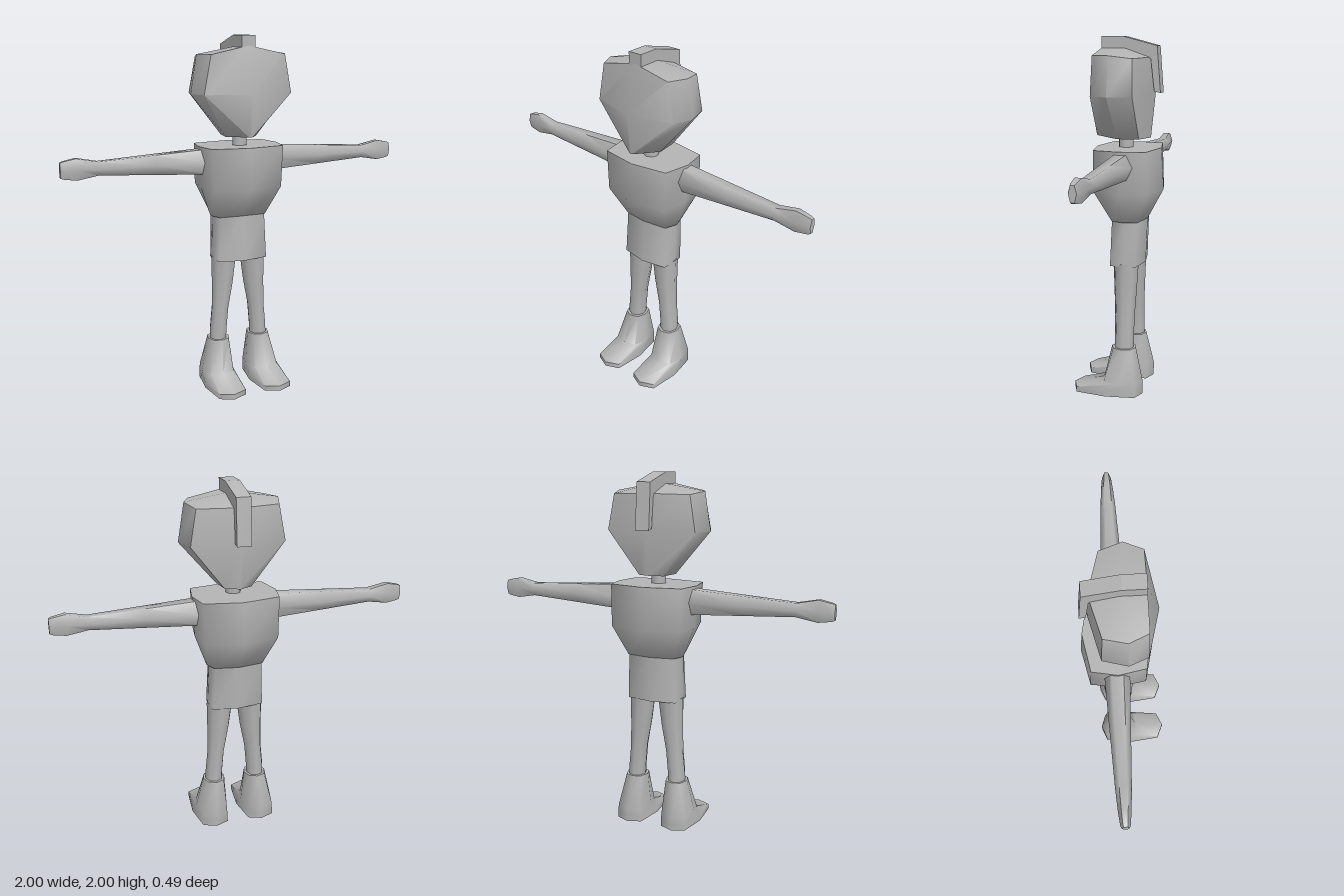
import * as THREE from 'three';
import { toCreasedNormals } from 'three/addons/utils/BufferGeometryUtils.js';

// Skin closed cross-sections (counter-clockwise about the loft direction) and cap both ends.
function loft(rings, crease = 1, endCentres = []) {
  const n = rings[0].length;
  const points = rings.flat();
  const index = [];
  for (let r = 0; r < rings.length - 1; r++) {
    for (let i = 0; i < n; i++) {
      const a = r * n + i, b = r * n + (i + 1) % n;
      index.push(a, b, b + n, a, b + n, a + n);
    }
  }
  const average = ring => [0, 1, 2].map(k => ring.reduce((s, p) => s + p[k], 0) / n);
  const last = (rings.length - 1) * n;
  const bottom = points.push(endCentres[0] ?? average(rings[0])) - 1;
  const top = points.push(endCentres[1] ?? average(rings[rings.length - 1])) - 1;
  for (let i = 0; i < n; i++) {
    const j = (i + 1) % n;
    index.push(bottom, j, i, top, last + i, last + j);
  }
  const g = new THREE.BufferGeometry();
  g.setAttribute('position', new THREE.Float32BufferAttribute(points.flat(), 3));
  g.setIndex(index);
  return toCreasedNormals(g, crease);
}

// Half outline from front centre to back centre, mirrored into a full ring.
const symmetric = half => [
  ...half,
  ...half.slice(1, -1).reverse().map(([x, y, z]) => [-x, y, z]),
];

// Level ring from half-outline [x, z] pairs, shifted sideways by cx.
const level = (y, half, cx = 0) =>
  symmetric(half.map(([x, z]) => [x, y, z])).map(([x, py, z]) => [x + cx, py, z]);

// Mirror rings to the other side, keeping faces outward.
const mirrored = rings => rings.map(ring => ring.map(([x, y, z]) => [-x, y, z]).reverse());

export function createModel() {
  const model = new THREE.Group();
  const grey = new THREE.MeshStandardMaterial({ color: 0xb4b4b4 });
  grey.name = 'plain grey';

  const add = (name, geometry) => {
    const mesh = new THREE.Mesh(geometry, grey);
    mesh.name = name;
    model.add(mesh);
    return mesh;
  };
  const addPair = (name, rings, crease) => {
    add('left' + name, loft(rings, crease));
    add('right' + name, loft(mirrored(rings), crease));
  };

  // Head: wide faceted mask in front, rounded back, pointed chin
  add('head', loft([
    symmetric([[0, 1.46, 0.14], [0.012, 1.46, 0.135], [0.09, 1.45, 0], [0.075, 1.45, -0.12], [0, 1.455, -0.17]]),
    symmetric([[0, 1.69, 0.165], [0.255, 1.69, 0.1], [0.295, 1.69, 0], [0.26, 1.69, -0.13], [0, 1.7, -0.195]]),
    symmetric([[0, 1.945, 0.1], [0.215, 1.9, 0.1], [0.26, 1.9, 0], [0.225, 1.885, -0.12], [0, 1.89, -0.18]]),
  ], 0.95, [[0, 1.45, -0.02], [0, 1.945, -0.02]]));

  // Crest: bent band running over the crown and down the back (profile in z, y)
  const profile = [[0.1, 1.93], [0.1, 2], [-0.02, 2], [-0.21, 1.95], [-0.23, 1.7], [-0.195, 1.71], [-0.175, 1.88], [0, 1.93]];
  const shape = new THREE.Shape(profile.map(([z, y]) => new THREE.Vector2(-z, y)));
  const crest = new THREE.ExtrudeGeometry(shape, { depth: 0.08, bevelEnabled: false });
  crest.translate(0, 0, -0.04).rotateY(Math.PI / 2);
  add('crest', crest);

  // Neck
  add('neck', toCreasedNormals(new THREE.CylinderGeometry(0.042, 0.042, 0.12, 8), 1))
    .position.set(0, 1.42, -0.028);

  // Torso: broad shoulders tapering to the waist
  add('torso', loft([
    level(1.0, [[0, 0.035], [0.14, 0.015], [0.165, -0.06], [0.14, -0.13], [0, -0.155]]),
    level(1.17, [[0, 0.145], [0.2, 0.1], [0.225, -0.05], [0.205, -0.2], [0, -0.245]]),
    level(1.4, [[0, 0.135], [0.21, 0.1], [0.238, -0.05], [0.212, -0.19], [0, -0.23]]),
  ], 1.3));

  // Shorts
  add('shorts', loft([
    level(0.745, [[0, 0.052], [0.145, 0.025], [0.158, -0.05], [0.145, -0.12], [0, -0.145]]),
    level(1.01, [[0, 0.037], [0.135, 0.015], [0.15, -0.06], [0.135, -0.13], [0, -0.155]]),
  ], 1.3));

  // Arms: six-sided, slender to the wrist, ending in a flat mitten [x, y, half height, half depth]
  const arm = [
    [0.2, 1.315, 0.07, 0.068], [0.5, 1.315, 0.053, 0.055], [0.8, 1.315, 0.036, 0.042],
    [0.915, 1.317, 0.058, 0.034], [0.985, 1.315, 0.046, 0.026], [1, 1.315, 0.04, 0.02],
  ].map(([x, y, h, d]) => Array.from({ length: 6 }, (_, i) => {
    const a = (i + 0.5) * Math.PI / 3;
    return [x, y + h * Math.cos(a) / 0.866, -0.055 + d * Math.sin(a)];
  }));
  addPair('Arm', arm, 1.1);

  // Legs: eight-sided, leaning outward below the knee [y, x, half width, half depth]
  const leg = [
    [0.24, 0.128, 0.05, 0.056], [0.32, 0.125, 0.051, 0.056], [0.45, 0.113, 0.05, 0.057],
    [0.6, 0.098, 0.064, 0.065], [0.76, 0.088, 0.076, 0.073],
  ].map(([y, x, w, d]) => Array.from({ length: 8 }, (_, i) => {
    const a = i * Math.PI / 4;
    return [x + w * Math.sin(a), y, -0.053 + d * Math.cos(a)];
  }));
  addPair('Leg', leg, 1);

  // Boots: flared ankle with a low, long toe
  const sole = [[0, 0.24], [0.08, 0.205], [0.1, 0.03], [0.075, -0.135], [0, -0.165]];
  addPair('Boot', [
    level(0, sole, 0.14),
    level(0.03, sole, 0.14),
    level(0.08, [[0, 0.062], [0.072, 0.045], [0.094, -0.04], [0.07, -0.14], [0, -0.165]], 0.14),
    level(0.27, [[0, 0.018], [0.046, 0], [0.064, -0.05], [0.046, -0.105], [0, -0.122]], 0.126),
  ], 1.1);

  return model;
}
